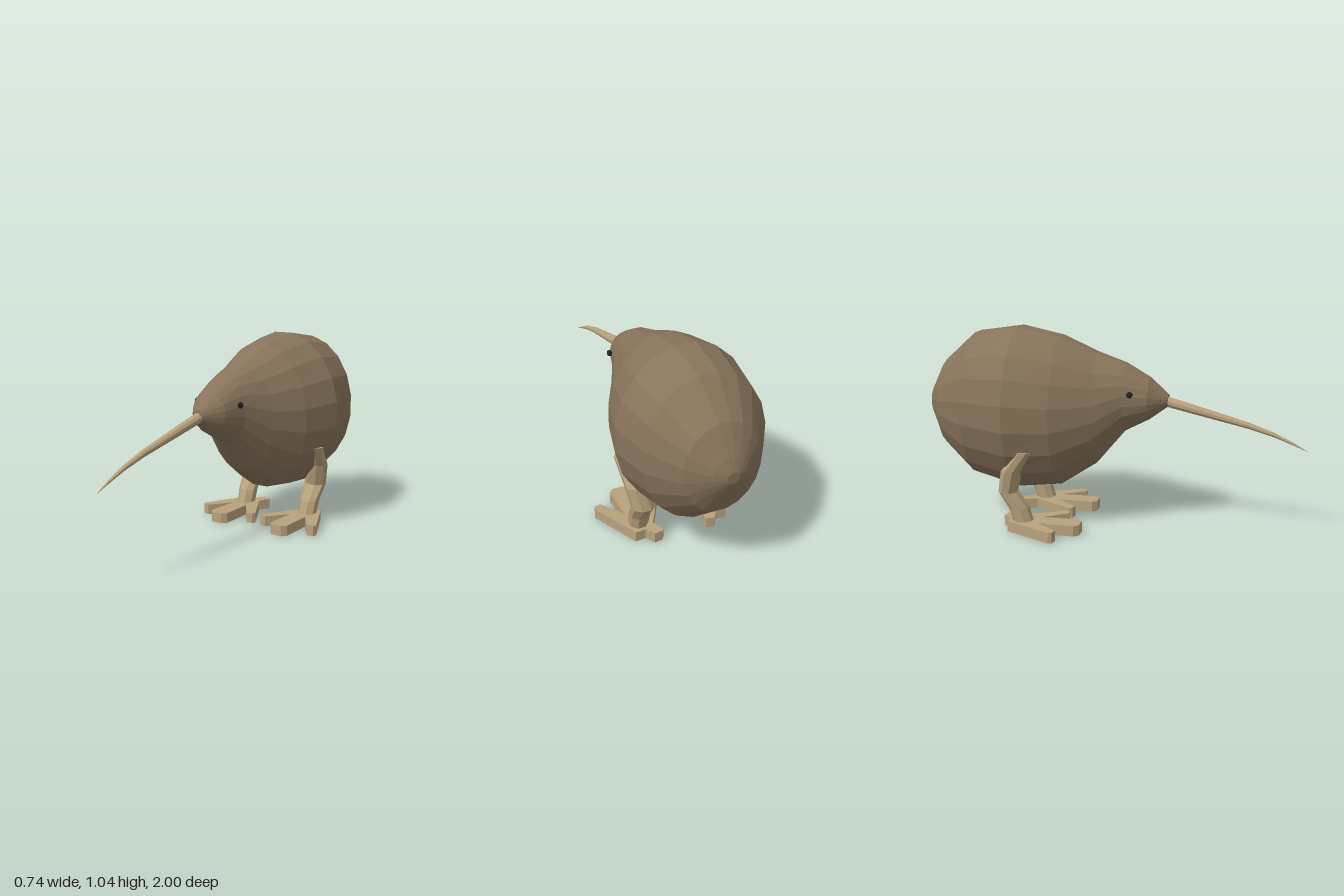
import * as THREE from 'three';

const mat = (color) => new THREE.MeshStandardMaterial({ color, flatShading: true, roughness: 0.9 });
const feather = mat(0x88745b);
const horn = mat(0xb8a27c);
const dark = mat(0x1c201e);

function addMesh(parent, name, geometry, material) {
  const mesh = new THREE.Mesh(geometry, material);
  mesh.name = name;
  parent.add(mesh);
  return mesh;
}

// Capped skin over elliptical rings {c: centre, rx, r}; rings lie across the z or the y axis
function loft(rings, sides, axis) {
  const pos = [], index = [];
  for (const { c, rx, r } of rings) {
    for (let j = 0; j < sides; j++) {
      const a = ((j + 0.5) / sides) * Math.PI * 2;
      const u = rx * Math.cos(a), v = r * Math.sin(a);
      if (axis === 'z') pos.push(c[0] + u, c[1] + v, c[2]);
      else pos.push(c[0] + u, c[1], c[2] - v);
    }
  }
  const last = (rings.length - 1) * sides, first = rings.length * sides;
  pos.push(...rings[0].c, ...rings[rings.length - 1].c);
  for (let j = 0; j < sides; j++) {
    const k = (j + 1) % sides;
    for (let i = 0; i < last; i += sides) {
      index.push(i + j, i + k, i + sides + j, i + k, i + sides + k, i + sides + j);
    }
    index.push(first, k, j, first + 1, last + j, last + k);
  }
  const g = new THREE.BufferGeometry();
  g.setAttribute('position', new THREE.Float32BufferAttribute(pos, 3));
  g.setIndex(index);
  g.computeVertexNormals();
  return g;
}

// Body and head in one skin: z, top, bottom, half width
const BODY = [
  [-1.0, 0.665, 0.61, 0.03], [-0.975, 0.725, 0.55, 0.085], [-0.9, 0.86, 0.4, 0.19],
  [-0.73, 1.01, 0.25, 0.305], [-0.495, 1.045, 0.19, 0.347], [-0.27, 1.0, 0.215, 0.29],
  [-0.08, 0.92, 0.34, 0.2], [0.07, 0.87, 0.52, 0.135], [0.195, 0.8, 0.585, 0.1],
  [0.29, 0.718, 0.655, 0.031],
];

// Beak: z, y, radius
const BEAK = [
  [0.27, 0.682, 0.028], [0.42, 0.645, 0.025], [0.56, 0.61, 0.021],
  [0.7, 0.575, 0.017], [0.83, 0.533, 0.012], [0.93, 0.49, 0.007], [1.0, 0.455, 0.001],
];

// Leg from ankle to thigh: x, y, z, half width, half depth
const LEG = [
  [0.207, 0.05, -0.435, 0.05, 0.055], [0.208, 0.125, -0.457, 0.054, 0.054],
  [0.21, 0.21, -0.513, 0.062, 0.05], [0.24, 0.33, -0.483, 0.057, 0.054],
  [0.272, 0.445, -0.398, 0.042, 0.046],
];

// Foot outline with three front toes and a short hind toe: x, z
const FOOT = [
  [0.25, -0.51], [0.372, -0.255], [0.365, -0.235], [0.33, -0.228], [0.245, -0.35],
  [0.25, -0.155], [0.228, -0.13], [0.168, -0.13], [0.145, -0.155], [0.15, -0.35],
  [0.062, -0.228], [0.028, -0.235], [0.02, -0.255], [0.14, -0.47], [0.112, -0.535],
  [0.12, -0.548], [0.165, -0.555], [0.195, -0.505],
];

export function createModel() {
  const bird = new THREE.Group();
  bird.name = 'bird';

  const flat = 1 / Math.cos(Math.PI / 20);
  addMesh(bird, 'body', loft(BODY.map(([z, top, bottom, w]) => ({
    c: [0, (top + bottom) / 2, z], rx: w * flat, r: ((top - bottom) / 2) * flat,
  })), 20, 'z'), feather);

  addMesh(bird, 'beak', loft(BEAK.map(([z, y, r]) => ({ c: [0, y, z], rx: r, r })), 10, 'z'), horn);

  for (const side of [1, -1]) {
    const prefix = side > 0 ? 'left' : 'right';

    const eye = addMesh(bird, prefix + 'Eye', new THREE.SphereGeometry(0.016, 10, 8), dark);
    eye.position.set(side * 0.135, 0.732, 0.113);
    eye.scale.x = 0.85;

    addMesh(bird, prefix + 'Leg', loft(LEG.map(([x, y, z, rx, r]) => ({
      c: [side * x, y, z], rx, r,
    })), 8, 'y'), horn);

    const outline = new THREE.Shape(FOOT.map(([x, z]) => new THREE.Vector2(side * x, -z)));
    const foot = new THREE.ExtrudeGeometry(outline, { depth: 0.056, bevelEnabled: false });
    addMesh(bird, prefix + 'Foot', foot.rotateX(-Math.PI / 2), horn);
  }
  return bird;
}
